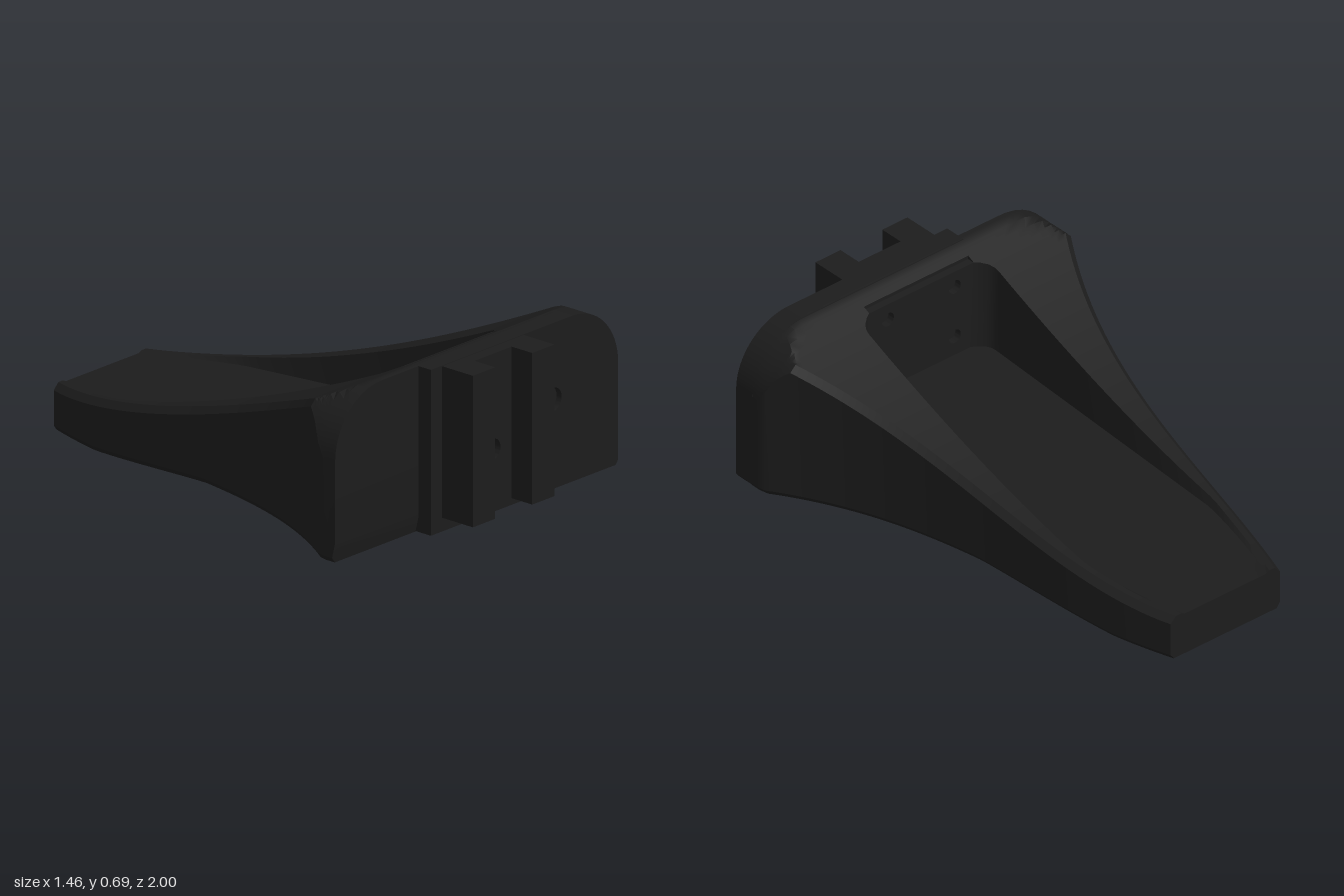
import * as THREE from 'three';
import { toCreasedNormals } from 'three/addons/utils/BufferGeometryUtils.js';

const material = new THREE.MeshStandardMaterial({ color: 0x1c1c1c });

// Profile rules along z
const topAt = z => Math.min(0.695, 0.18 + 0.208 * Math.pow(z + 1, 1.6));
const widthAt = z => Math.min(0.73, 0.445 + 0.193 * z + 0.175 * z * z + 0.166 * z ** 3);
const bottomAt = z => 0.055 * THREE.MathUtils.clamp((z + 0.75) / 0.62, 0, 1);
const floorAt = z => 0.19 + 0.1 * (z + 0.75) / 1.42;
// Large rounded upper corners of the front outline
const roundAt = x => {
  const d = Math.max(0, x - 0.48);
  return 0.445 + Math.sqrt(Math.max(0, 0.0625 - d * d));
};

// Cross-section ring at z, counter-clockwise seen from the front
function section({ z, pocket, half = 0.31, bottom = bottomAt(z) }) {
  const w = widthAt(z), h = topAt(z);
  const po = Math.min(half, w - 0.05);
  const top = x => Math.min(h - Math.max(0, 0.025 - (w - x)), roundAt(x));
  const side = [[w - 0.015, bottom], [w, bottom + 0.02]];
  for (const d of [0, 0.003, 0.008, 0.015, 0.025]) side.push([w - d, top(w - d)]);
  const n = 12;
  for (let i = 1; i <= n; i++) {
    const x = po + (w - 0.025 - po) * Math.cos(i / n * Math.PI / 2);
    side.push([x, top(x)]);
  }
  const y = pocket ? Math.min(h, floorAt(z)) : h;
  side.push([po - 0.015, y]);
  const mirrored = side.map(([x, v]) => [-x, v]).reverse();
  return [...side, [0, y], ...mirrored].map(([x, v]) => new THREE.Vector3(x, v, z));
}

function loft(rings) {
  const pos = [];
  const tri = (...p) => p.forEach(v => pos.push(v.x, v.y, v.z));
  const n = rings[0].length;
  for (let i = 0; i < rings.length - 1; i++) {
    for (let j = 0; j < n; j++) {
      const k = (j + 1) % n;
      const a = rings[i][j], b = rings[i][k], c = rings[i + 1][k], d = rings[i + 1][j];
      tri(a, b, c);
      tri(a, c, d);
    }
  }
  const cap = (ring, flip) => {
    const flat = ring.map(v => new THREE.Vector2(v.x, v.y));
    for (const [a, b, c] of THREE.ShapeUtils.triangulateShape(flat, [])) {
      if (flip) tri(ring[a], ring[c], ring[b]);
      else tri(ring[a], ring[b], ring[c]);
    }
  };
  cap(rings[0], true);
  cap(rings[rings.length - 1], false);
  const geo = new THREE.BufferGeometry();
  geo.setAttribute('position', new THREE.Float32BufferAttribute(pos, 3));
  return toCreasedNormals(geo, 0.45);
}

function rect(x0, y0, x1, y1) {
  const s = new THREE.Shape();
  s.moveTo(x0, y0).lineTo(x1, y0).lineTo(x1, y1).lineTo(x0, y1).closePath();
  return s;
}

// Flat plate from z0 to z1 with round holes [x, y, radius]
function plate(shape, z0, z1, holes = []) {
  for (const [x, y, r] of holes) {
    shape.holes.push(new THREE.Path().absarc(x, y, r, 0, Math.PI * 2, true));
  }
  const geo = new THREE.ExtrudeGeometry(shape, { depth: z1 - z0, bevelEnabled: false, curveSegments: 24 });
  return toCreasedNormals(geo.translate(0, 0, z0), 0.5);
}

export function createModel() {
  const group = new THREE.Group();
  const add = (name, geo) => {
    const mesh = new THREE.Mesh(geo, material);
    mesh.name = name;
    group.add(mesh);
  };

  // Flared, sloping body with a scooped pocket
  const rows = [];
  for (let i = 0; i <= 40; i++) rows.push({ z: -1 + i * 0.04, pocket: true });
  rows.push(
    { z: 0.62, pocket: true, half: 0.307 },
    { z: 0.64, pocket: true, half: 0.295 },
    { z: 0.66, pocket: true, half: 0.27 },
    { z: 0.67, pocket: true, half: 0.25 },
    { z: 0.699, pocket: true, half: 0.25 },
    { z: 0.7, pocket: false, half: 0.25 },
    { z: 0.735, pocket: false },
    { z: 0.765, pocket: false },
    { z: 0.775, pocket: false },
    { z: 0.79, pocket: false, bottom: 0.115 }
  );
  add('body', loft(rows.map(section)));

  // Drilled wall closing the pocket
  const wallHoles = [];
  for (const x of [-0.16, 0.16]) for (const y of [0.37, 0.585]) wallHoles.push([x, y, 0.028]);
  add('pocketWall', plate(rect(-0.25, 0.26, 0.25, 0.652), 0.67, 0.7, wallHoles));

  // Raised front plate covering the left side and the middle
  const front = new THREE.Shape();
  front.moveTo(-0.28, 0.057).lineTo(0.715, 0.057).lineTo(0.73, 0.075).lineTo(0.73, 0.445);
  front.absarc(0.48, 0.445, 0.25, 0, Math.PI / 2, false);
  front.lineTo(-0.28, 0.695).closePath();
  add('frontPlate', plate(front, 0.76, 0.85, [[0.38, 0.4, 0.045]]));
  add('screwSeat', plate(new THREE.Shape().absarc(0.38, 0.4, 0.046, 0, Math.PI * 2, false),
    0.79, 0.825, [[0.38, 0.4, 0.032]]));

  // Mounting block: drilled base and two rails
  add('mountBase', plate(rect(-0.1, 0.11, 0.1, 0.693), 0.85, 0.9, [[0, 0.325, 0.04]]));
  for (const s of [-1, 1]) {
    const geo = new THREE.BoxGeometry(0.12, 0.583, 0.15).translate(s * 0.16, 0.4015, 0.925);
    add(s > 0 ? 'leftRail' : 'rightRail', geo);
  }
  return group;
}
